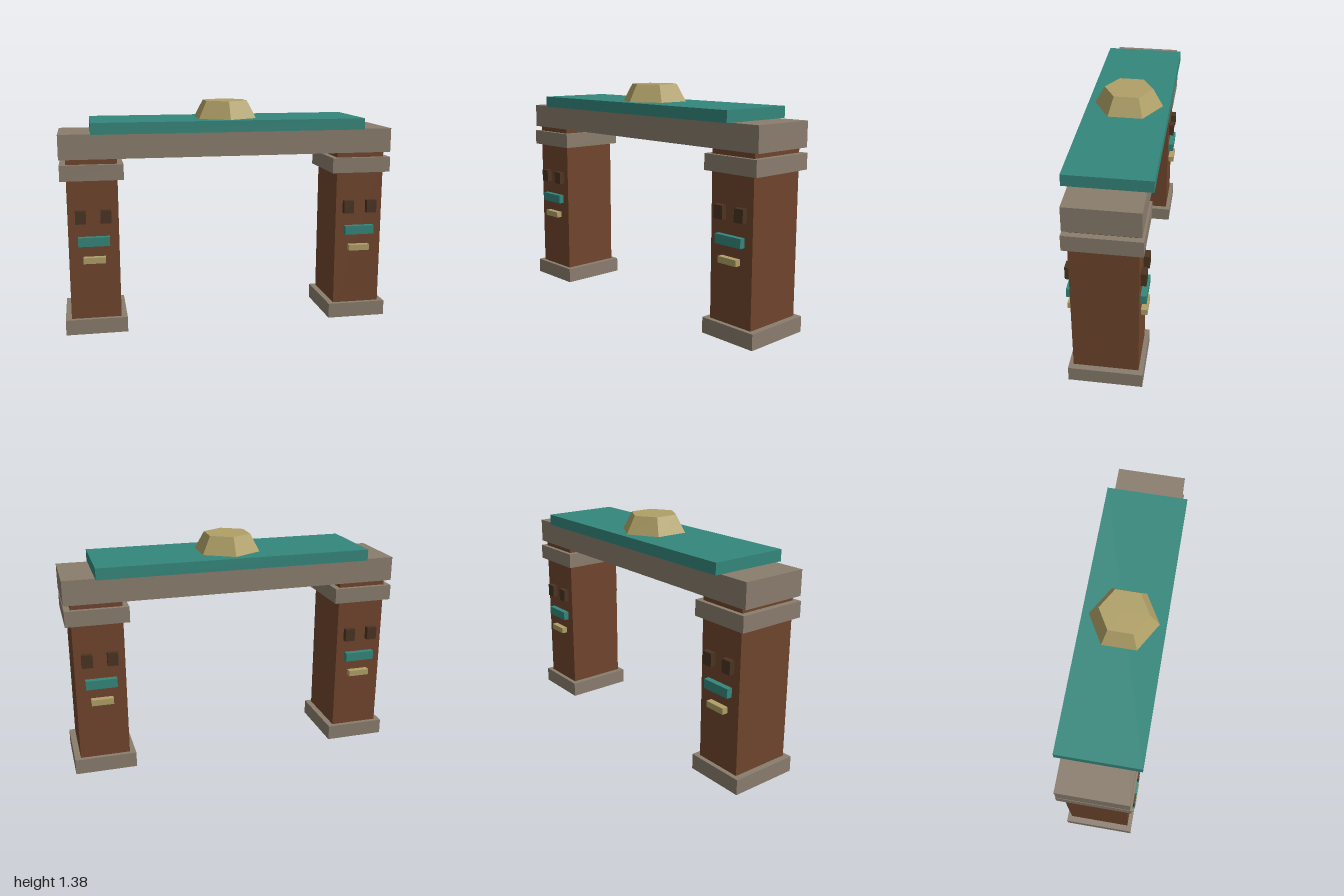
import * as THREE from 'three';

const mat = (name, color) => {
  const m = new THREE.MeshStandardMaterial({ color });
  m.name = name;
  return m;
};

export function createModel() {
  const wood = mat('brown wood', 0x70452d);
  const stone = mat('grey stone', 0x8a7d6d);
  const teal = mat('teal paint', 0x34877c);
  const gold = mat('dull gold', 0xb0a067);
  const dark = mat('dark wood', 0x4a3422);

  const gate = new THREE.Group();
  gate.name = 'gateway';

  // Box given by centre x and z, bottom and top y, width and depth
  const box = (parent, name, material, x, z, y0, y1, w, d) => {
    const mesh = new THREE.Mesh(new THREE.BoxGeometry(w, y1 - y0, d), material);
    mesh.position.set(x, (y0 + y1) / 2, z);
    mesh.name = name;
    parent.add(mesh);
  };

  // Pillars with collars and a carved face on front and back
  for (const side of [-1, 1]) {
    const pillar = new THREE.Group();
    pillar.name = side > 0 ? 'leftPillar' : 'rightPillar';
    pillar.position.x = side * 0.815;
    gate.add(pillar);

    box(pillar, 'post', wood, 0, 0, 0, 1.06, 0.295, 0.37);
    box(pillar, 'footCollar', stone, 0, 0, 0.01, 0.102, 0.366, 0.422);
    box(pillar, 'topCollar', stone, 0, 0, 0.938, 1.03, 0.366, 0.422);

    for (const f of [-1, 1]) {
      for (const e of [-1, 1]) {
        box(pillar, 'eye', dark, e * 0.073, f * 0.2, 0.685, 0.763, 0.062, 0.035);
      }
      box(pillar, 'noseBand', teal, 0, f * 0.2, 0.55, 0.604, 0.184, 0.037);
      box(pillar, 'mouth', gold, 0, f * 0.2, 0.447, 0.483, 0.13, 0.042);
    }
  }

  // Lintel and roof slab
  box(gate, 'lintel', stone, 0, 0, 1.06, 1.205, 2, 0.405);
  box(gate, 'roofSlab', teal, 0, 0, 1.205, 1.272, 1.63, 0.478);

  // Six-sided crown with a point toward the front
  const crownGeometry = new THREE.CylinderGeometry(0.142, 0.2, 0.104, 6).toNonIndexed();
  crownGeometry.computeVertexNormals();
  const crown = new THREE.Mesh(crownGeometry, gold);
  crown.position.y = 1.324;
  crown.name = 'crown';
  gate.add(crown);

  return gate;
}
